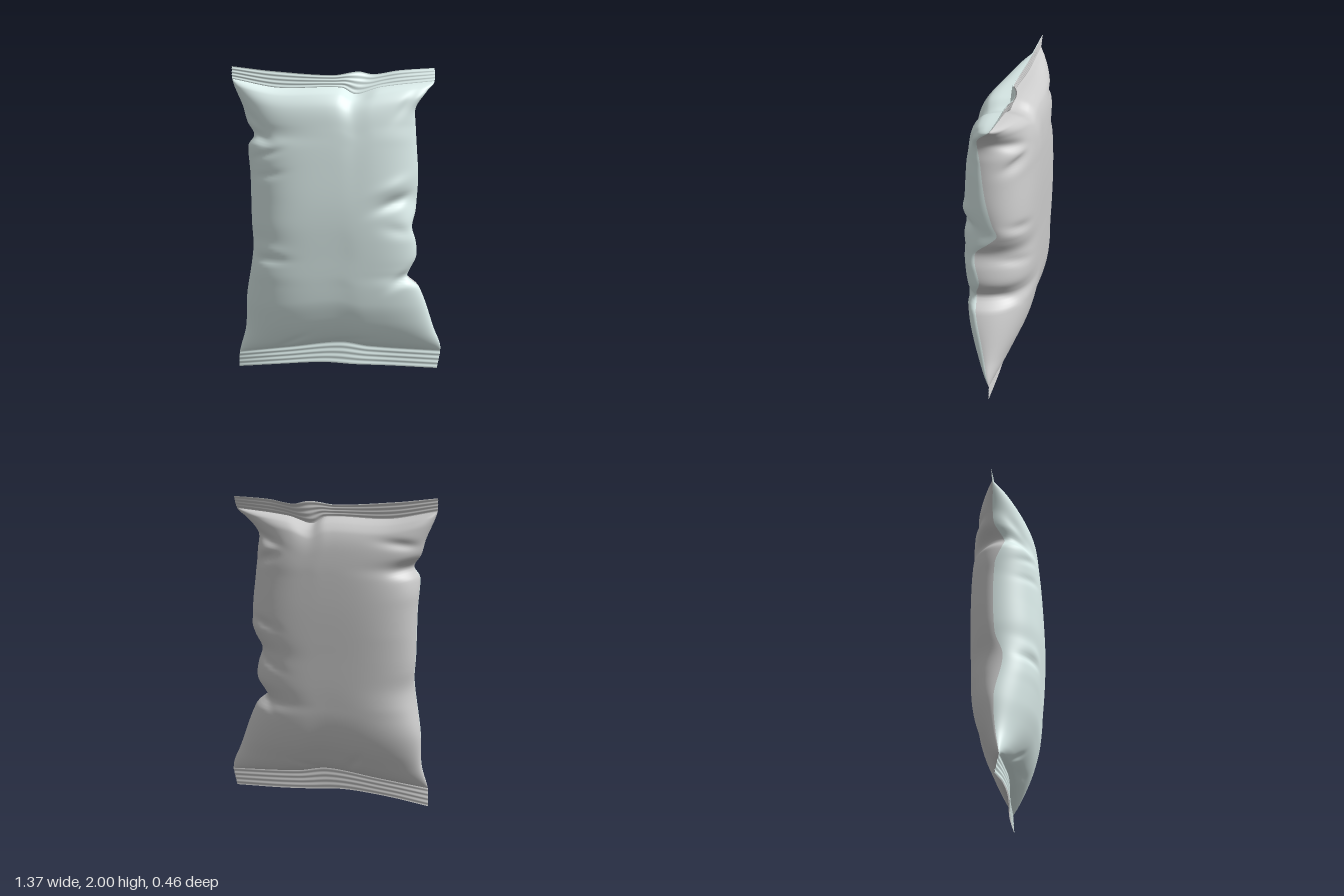
import * as THREE from 'three';

// Smooth curve through [position, value] pairs
function curve(pts) {
  const n = pts.length;
  const slope = (i) => {
    const a = pts[Math.max(i - 1, 0)], b = pts[Math.min(i + 1, n - 1)];
    return (b[1] - a[1]) / (b[0] - a[0]);
  };
  return (x) => {
    if (x <= pts[0][0]) return pts[0][1];
    if (x >= pts[n - 1][0]) return pts[n - 1][1];
    let i = 0;
    while (x > pts[i + 1][0]) i++;
    const [x0, y0] = pts[i], [x1, y1] = pts[i + 1];
    const h = x1 - x0, t = (x - x0) / h, t2 = t * t, t3 = t2 * t;
    return y0 * (2 * t3 - 3 * t2 + 1) + h * slope(i) * (t3 - 2 * t2 + t)
      + y1 * (3 * t2 - 2 * t3) + h * slope(i + 1) * (t3 - t2);
  };
}

// Side outlines: x by height
const leftX = curve([[0, -0.66], [0.12, -0.65], [0.28, -0.61], [0.5, -0.6], [0.8, -0.55], [1, -0.56],
  [1.3, -0.565], [1.5, -0.57], [1.57, -0.53], [1.65, -0.58], [1.75, -0.61], [1.91, -0.675], [2, -0.68]]);
const rightX = curve([[0.02, 0.665], [0.17, 0.685], [0.3, 0.64], [0.6, 0.535], [0.67, 0.46], [0.72, 0.475],
  [0.8, 0.515], [0.9, 0.51], [1, 0.485], [1.1, 0.51], [1.3, 0.522], [1.5, 0.51], [1.65, 0.5],
  [1.75, 0.5], [1.85, 0.57], [1.9, 0.615], [1.99, 0.62]]);

// Seal borders: height and depth across the width (u from -1 to 1)
const topEdgeY = curve([[-1, 2], [-0.6, 1.97], [0, 1.945], [0.25, 1.967], [0.4, 1.95], [0.65, 1.975], [1, 1.99]]);
const topLineY = curve([[-1, 1.92], [-0.55, 1.865], [0.1, 1.868], [0.28, 1.825], [0.5, 1.87], [1, 1.91]]);
const topEdgeZ = curve([[-1, -0.075], [-0.45, -0.055], [0, -0.035], [0.17, -0.045], [0.33, -0.085], [0.65, -0.075], [1, -0.08]]);
const topLineZ = curve([[-1, -0.068], [-0.5, -0.04], [0, -0.022], [0.3, -0.035], [1, -0.025]]);
const lowLineY = curve([[-1, 0.115], [-0.5, 0.155], [0, 0.195], [0.3, 0.165], [1, 0.14]]);
const lowEdgeY = curve([[-1, 0], [-0.6, 0.03], [-0.15, 0.052], [0.2, 0.038], [1, 0.02]]);
const lowLineZ = curve([[-1, -0.02], [0, -0.01], [0.4, -0.022], [1, -0.02]]);
const lowEdgeZ = curve([[-1, -0.045], [-0.6, -0.015], [0, -0.005], [0.5, -0.02], [1, -0.012]]);

// Bulge of each panel along the body (v from 0 to 1)
const bulgeFront = curve([[0, 0], [0.012, 0.045], [0.035, 0.09], [0.08, 0.142], [0.13, 0.178], [0.2, 0.208],
  [0.38, 0.235], [0.55, 0.248], [0.72, 0.238], [0.85, 0.22], [0.93, 0.197], [0.975, 0.145], [0.99, 0.09], [1, 0]]);
const bulgeBack = curve([[0, 0], [0.012, 0.035], [0.035, 0.068], [0.07, 0.1], [0.13, 0.145], [0.2, 0.176],
  [0.28, 0.191], [0.5, 0.198], [0.72, 0.198], [0.88, 0.182], [0.95, 0.152], [0.98, 0.105], [0.993, 0.055], [1, 0]]);

// Wandering of the side folds in depth
const foldRight = curve([[0, 0], [0.15, 0.06], [0.26, 0.11], [0.32, 0.12], [0.38, 0.09], [0.49, 0.12],
  [0.55, 0.02], [0.58, -0.025], [0.62, 0], [0.72, 0.045], [0.84, 0.075], [0.94, 0.09], [1, 0]]);
const foldLeft = curve([[0, 0], [0.2, -0.02], [0.36, 0.03], [0.45, -0.02], [0.7, -0.02], [0.8, 0.04], [0.86, -0.02], [1, 0]]);

// Creases: [x, y, length, width, angle, depth]; negative depth puffs outward
const creasesFront = [
  [0.39, 1.17, 0.12, 0.035, 0.4, 0.035], [0.38, 1.27, 0.12, 0.04, 0.4, -0.015], [0.45, 0.68, 0.09, 0.03, 0.6, 0.04],
  [0.42, 0.98, 0.1, 0.04, -0.2, 0.015], [-0.47, 0.78, 0.12, 0.025, 0, 0.02], [-0.46, 0.85, 0.12, 0.035, -0.1, -0.01],
  [-0.5, 1.57, 0.08, 0.03, -0.4, 0.03], [-0.46, 1.45, 0.1, 0.025, 0.3, 0.015], [-0.45, 1.32, 0.1, 0.025, 0.2, 0.012],
  [-0.54, 1.68, 0.08, 0.03, -0.7, 0.025], [0.17, 1.82, 0.06, 0.03, 0.5, 0.02], [0.45, 1.78, 0.1, 0.03, 0.9, 0.02],
  [-0.33, 0.19, 0.12, 0.025, 0.5, 0.02], [0.03, 0.22, 0.14, 0.025, 0.1, 0.015]];
const creasesBack = [
  [0.44, 1.74, 0.12, 0.03, 0.3, 0.04], [0.42, 1.6, 0.1, 0.035, -0.4, 0.035], [0.4, 1.67, 0.1, 0.035, -0.1, -0.015],
  [0.44, 1.2, 0.11, 0.035, 0.25, 0.025], [0.44, 0.95, 0.12, 0.03, 0.3, 0.025], [0.46, 0.7, 0.1, 0.03, 0.7, 0.025],
  [-0.5, 1.72, 0.13, 0.03, 0.1, 0.025], [-0.52, 1.57, 0.09, 0.035, -0.3, 0.035],
  [-0.15, 0.25, 0.1, 0.03, -0.9, 0.015], [0.1, 0.22, 0.12, 0.025, 0.3, 0.012]];

function creaseDepth(list, x, y) {
  let sum = 0;
  for (const [cx, cy, length, width, angle, depth] of list) {
    const dx = x - cx, dy = y - cy, c = Math.cos(angle), s = Math.sin(angle);
    const a = (dx * c + dy * s) / length, b = (dy * c - dx * s) / width;
    sum += depth * Math.exp(-a * a - b * b);
  }
  return sum;
}

const lerp = THREE.MathUtils.lerp;
const acrossX = (u, y) => lerp(leftX(y), rightX(y), (u + 1) / 2);

// Half the film thickness, closing at the side edges
const film = (u) => 0.004 * Math.sqrt(Math.max(0, 1 - u * u));

// Inflated panel; side is 1 for the front and -1 for the back
function bodyPoint(side) {
  const bulge = side > 0 ? bulgeFront : bulgeBack;
  const creases = side > 0 ? creasesFront : creasesBack;
  return (u, t) => {
    const v = (1 - Math.cos(Math.PI * t)) / 2;
    const y = lerp(lowLineY(u), topLineY(u), v), x = acrossX(u, y);
    const power = 2.4 + 1.6 * Math.sin(Math.PI * v);
    const fill = Math.sqrt(Math.max(0, 1 - Math.abs(u) ** power));
    const fold = lerp(foldLeft(v), foldRight(v), (u + 1) / 2) * (1 - fill);
    const dent = creaseDepth(creases, x, y) * fill * Math.min(1, bulge(v) / 0.12);
    // The waviness of the seals fades into a slight twist towards the middle
    const middle = lerp(-0.026 + 0.012 * u, lerp(lowLineZ(u), topLineZ(u), v), (2 * v - 1) ** 4);
    return [x, y, middle + fold + side * (film(u) + bulge(v) * fill - dent)];
  };
}

// Crimped strip with horizontal ribs
function sealPoint(side, y0, y1, z0, z1) {
  return (u, t) => {
    const y = lerp(y0(u), y1(u), t);
    const rib = 0.002 * Math.sin(t * Math.PI * 8);
    return [acrossX(u, y), y, lerp(z0(u), z1(u), t) + rib + side * film(u)];
  };
}

function sheet(name, point, side, columns, rows, color) {
  const positions = [], index = [];
  for (let j = 0; j <= rows; j++) {
    for (let i = 0; i <= columns; i++) {
      positions.push(...point(Math.sin((i / columns - 0.5) * Math.PI), j / rows));
      if (i === columns || j === rows) continue;
      const a = j * (columns + 1) + i, b = a + 1, c = a + columns + 1, d = c + 1;
      if (side > 0) index.push(a, b, d, a, d, c);
      else index.push(a, d, b, a, c, d);
    }
  }
  const geometry = new THREE.BufferGeometry();
  geometry.setAttribute('position', new THREE.Float32BufferAttribute(positions, 3));
  geometry.setIndex(index);
  geometry.computeVertexNormals();
  const mesh = new THREE.Mesh(geometry, new THREE.MeshStandardMaterial({ color, side: THREE.DoubleSide }));
  mesh.name = name;
  return mesh;
}

export function createModel() {
  const bag = new THREE.Group();
  bag.name = 'pillowBag';
  for (const [label, side, color] of [['front', 1, 0xdff0ee], ['back', -1, 0xcccccc]]) {
    bag.add(
      sheet(label + 'Panel', bodyPoint(side), side, 100, 150, color),
      sheet(label + 'TopSeal', sealPoint(side, topLineY, topEdgeY, topLineZ, topEdgeZ), side, 100, 32, color),
      sheet(label + 'BottomSeal', sealPoint(side, lowEdgeY, lowLineY, lowEdgeZ, lowLineZ), side, 100, 32, color)
    );
  }
  return bag;
}
